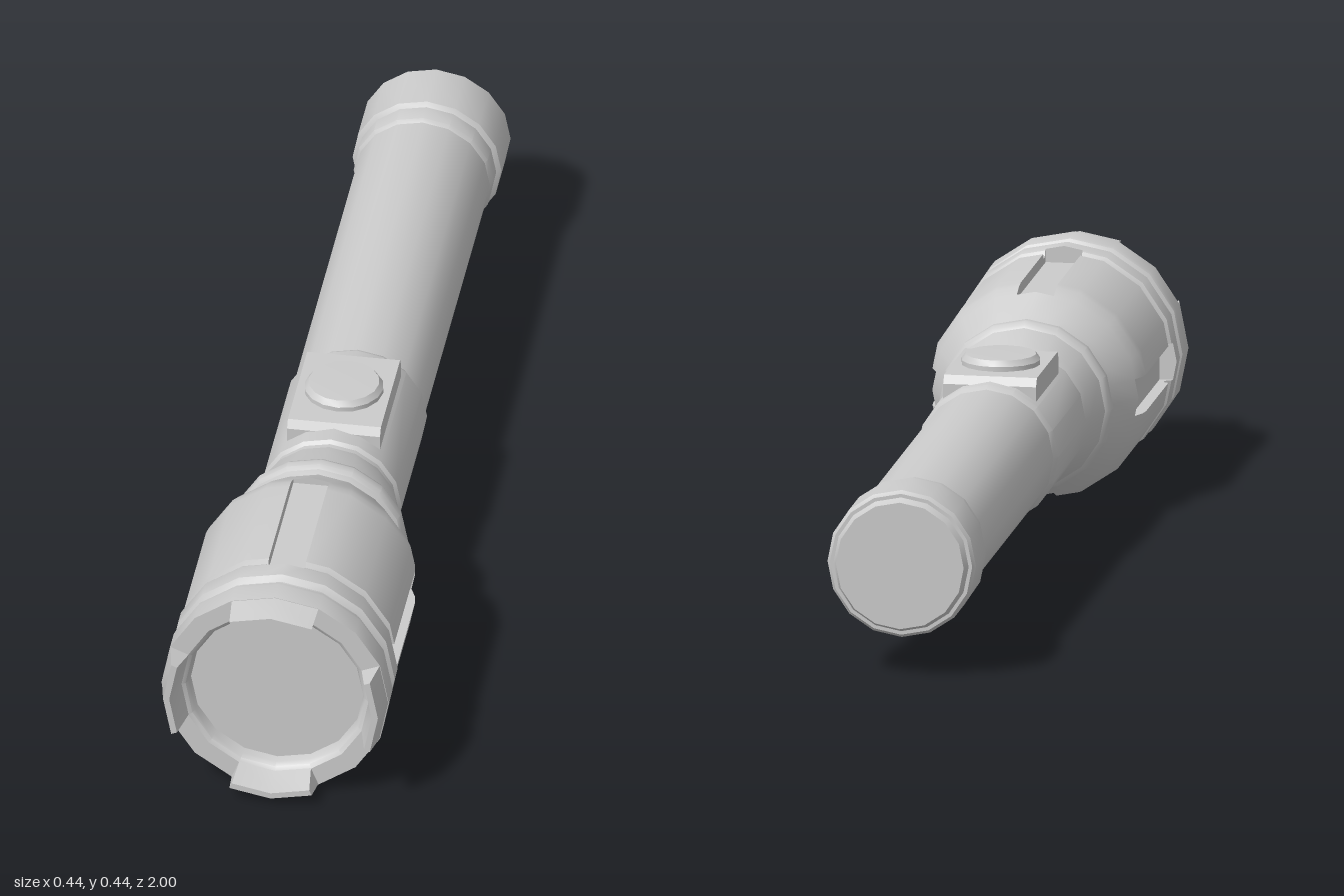
import * as THREE from 'three';
import { toCreasedNormals } from 'three/addons/utils/BufferGeometryUtils.js';

const SIDES = 16;
const AXIS_Y = 0.22;
const material = new THREE.MeshStandardMaterial({ color: 0xcccccc, side: THREE.DoubleSide });

function add(group, name, geometry, crease = 0.55) {
  const mesh = new THREE.Mesh(toCreasedNormals(geometry, crease), material);
  mesh.name = name;
  group.add(mesh);
  return mesh;
}

// Turned part along z, from [z, radius] pairs listed back to front
function turned(profile, start = 0, sweep = Math.PI * 2, sides = SIDES) {
  const points = profile.map(([z, r]) => new THREE.Vector2(r, z));
  return new THREE.LatheGeometry(points, sides, start, sweep).rotateX(Math.PI / 2);
}

// Cross-section of the head: a 16-gon with an optional slot in each quarter
function headRing(z, r, slotted) {
  const w = 0.036, floor = 0.185, step = Math.PI / 8;
  const edge = r - (w / Math.sin(step)) * (1 - Math.cos(step));
  const low = slotted ? floor : edge;
  const quarter = [[edge, -w], [low, -w], [slotted ? floor : r, 0], [low, w], [edge, w]];
  for (let k = 1; k < 4; k++) quarter.push([r * Math.cos(k * step), r * Math.sin(k * step)]);
  const ring = [];
  for (let q = 0; q < 4; q++) {
    const c = Math.round(Math.cos(q * Math.PI / 2)), s = Math.round(Math.sin(q * Math.PI / 2));
    for (const [x, y] of quarter) ring.push([x * c - y * s, x * s + y * c, z]);
  }
  return ring;
}

function loft(rings) {
  const n = rings[0].length, index = [];
  for (let i = 0; i < rings.length - 1; i++) {
    for (let j = 0; j < n; j++) {
      const a = i * n + j, b = i * n + (j + 1) % n;
      index.push(a, b, b + n, a, b + n, a + n);
    }
  }
  const geometry = new THREE.BufferGeometry();
  geometry.setAttribute('position', new THREE.Float32BufferAttribute(rings.flat(2), 3));
  geometry.setIndex(index);
  return geometry;
}

// One crown tooth: a trapezoid section swept over two sides, closed at both ends
function addTooth(group, angle) {
  const section = [[0.94, 0.22], [1, 0.208], [1, 0.196], [0.94, 0.18]];
  const tooth = new THREE.Group();
  tooth.name = 'crownTooth';
  add(tooth, 'toothBody', turned(section, -Math.PI / 8, Math.PI / 4, 2));
  for (const side of [-1, 1]) {
    const a = side * Math.PI / 8;
    const corners = section.map(([z, r]) => [r * Math.sin(a), -r * Math.cos(a), z]);
    const end = new THREE.BufferGeometry();
    end.setAttribute('position', new THREE.Float32BufferAttribute(corners.flat(), 3));
    end.setIndex(side < 0 ? [0, 2, 1, 0, 3, 2] : [0, 1, 2, 0, 2, 3]);
    add(tooth, 'toothEnd', end);
  }
  tooth.rotation.z = angle;
  group.add(tooth);
}

export function createModel() {
  const model = new THREE.Group();
  model.name = 'flashlight';
  const barrel = new THREE.Group();
  barrel.name = 'barrel';
  barrel.position.y = AXIS_Y;
  model.add(barrel);

  // Tail cap and its collar
  add(barrel, 'tailCap', turned([
    [-1, 0], [-1, 0.124], [-0.985, 0.131], [-0.985, 0.138], [-0.978, 0.144],
    [-0.868, 0.144], [-0.862, 0.135], [-0.825, 0.135], [-0.815, 0.129],
  ]));

  // Grip tube, switch housing and neck ring
  add(barrel, 'gripTube', turned([[-0.84, 0.13], [0, 0.13]]));
  add(barrel, 'switchHousing', turned([
    [-0.04, 0.129], [-0.025, 0.137], [0.28, 0.137], [0.287, 0.131], [0.31, 0.133],
  ]));
  add(barrel, 'neck', turned([
    [0.3, 0.133], [0.32, 0.139], [0.38, 0.157], [0.385, 0.163], [0.395, 0.168],
    [0.41, 0.168], [0.42, 0.163], [0.425, 0.153],
  ]));

  // Lamp head with four recessed slots
  add(barrel, 'lampHead', loft([
    [0.422, 0.152], [0.45, 0.168], [0.505, 0.2], [0.505, 0.2, true], [0.53, 0.211, true],
    [0.55, 0.214, true], [0.797, 0.214, true], [0.802, 0.204, true], [0.813, 0.204, true],
    [0.82, 0.216, true], [0.825, 0.218, true], [0.825, 0.218], [0.862, 0.218], [0.87, 0.206],
  ].map((ring) => headRing(...ring))));

  // Bezel, rolled inward to the lens
  add(barrel, 'bezel', turned([
    [0.87, 0.206], [0.883, 0.206], [0.89, 0.218], [0.9, 0.22], [0.945, 0.22],
    [0.945, 0.182], [0.94, 0.174], [0.93, 0.169], [0.91, 0.167],
  ]));
  add(barrel, 'lens', turned([[0.915, 0.168], [0.915, 0]]));
  for (let i = 0; i < 4; i++) addTooth(barrel, i * Math.PI / 2);

  // Switch pad with sloped ends, and the push button
  const padShape = new THREE.Shape([
    [-0.125, 0.29], [0.125, 0.29], [0.125, 0.35], [0.115, 0.366], [-0.115, 0.366], [-0.125, 0.35],
  ].map(([x, y]) => new THREE.Vector2(x, y)));
  const pad = new THREE.ExtrudeGeometry(padShape, { depth: 0.18, bevelEnabled: false });
  pad.translate(0, 0, -0.09).rotateY(Math.PI / 2).translate(0, 0, 0.122);
  add(model, 'switchPad', pad);

  const button = new THREE.LatheGeometry([
    [0.076, 0.36], [0.076, 0.375], [0.068, 0.386], [0, 0.388],
  ].map(([r, y]) => new THREE.Vector2(r, y)), SIDES);
  add(model, 'pushButton', button.translate(0, 0, 0.122));

  return model;
}
